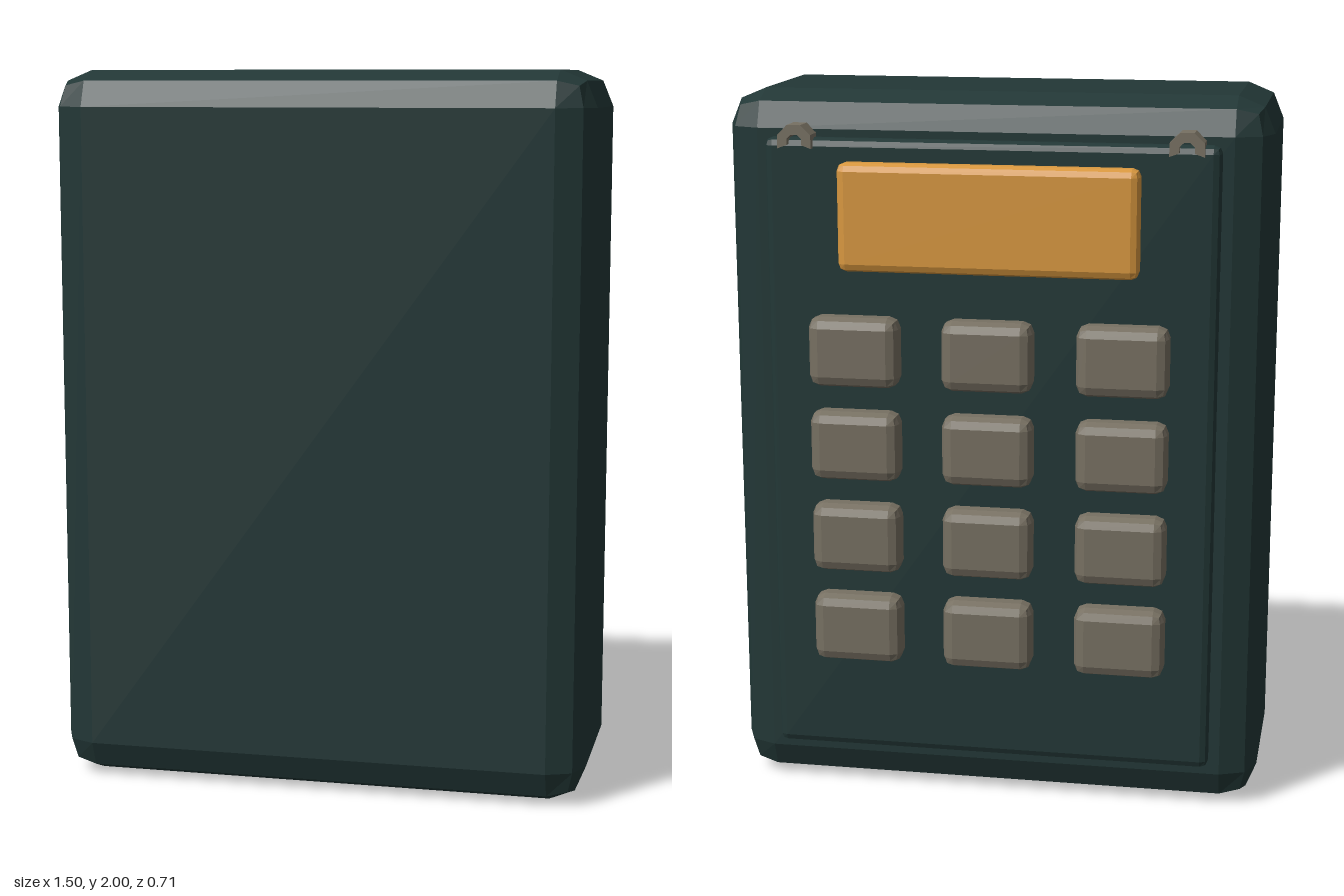
import * as THREE from 'three';
import { RoundedBoxGeometry } from 'three/addons/geometries/RoundedBoxGeometry.js';

const material = (name, color) => {
  const m = new THREE.MeshStandardMaterial({ color });
  m.name = name;
  return m;
};

export function createModel() {
  const group = new THREE.Group();
  const casing = material('dark green casing', 0x223736);
  const amber = material('amber screen', 0xd9983f);
  const grey = material('warm grey', 0x777062);

  const add = (name, geometry, mat, x, y, z) => {
    geometry.computeVertexNormals(); // faceted, as the geometry is not indexed
    const mesh = new THREE.Mesh(geometry, mat);
    mesh.name = name;
    mesh.position.set(x, y, z);
    group.add(mesh);
  };
  // box with two-facet edges, given by its limits in y and z and centred on x
  const block = (name, mat, x, width, y0, y1, z0, z1, radius) =>
    add(name, new RoundedBoxGeometry(width, y1 - y0, z1 - z0, 1, radius), mat,
      x, (y0 + y1) / 2, (z0 + z1) / 2);

  block('body', casing, 0, 1.5, 0, 2, -0.245, 0.355, 0.1);
  block('backPanel', casing, 0, 1.24, 0.13, 1.88, -0.29, -0.23, 0.022);
  block('screen', amber, 0, 0.82, 1.525, 1.82, -0.34, -0.27, 0.022);

  // keypad, four rows of three
  for (let row = 0; row < 4; row++) {
    for (let col = -1; col <= 1; col++) {
      const y = 1.302 - row * 0.265;
      block('key', grey, col * 0.37, 0.25, y - 0.097, y + 0.097, -0.355, -0.26, 0.03);
    }
  }

  // small open clips at the top corners of the panel
  const arc = (radius, i) => {
    const a = -0.35 + (i / 5) * (Math.PI + 0.7);
    return new THREE.Vector2(Math.cos(a) * radius, Math.sin(a) * radius);
  };
  const outline = [];
  for (let i = 0; i <= 5; i++) outline.push(arc(0.05, i));
  for (let i = 5; i >= 0; i--) outline.push(arc(0.022, i));
  for (const side of [-1, 1]) {
    const clip = new THREE.ExtrudeGeometry(new THREE.Shape(outline),
      { depth: 0.07, bevelEnabled: false });
    add('clip', clip, grey, side * 0.53, 1.87, -0.308);
  }
  return group;
}
